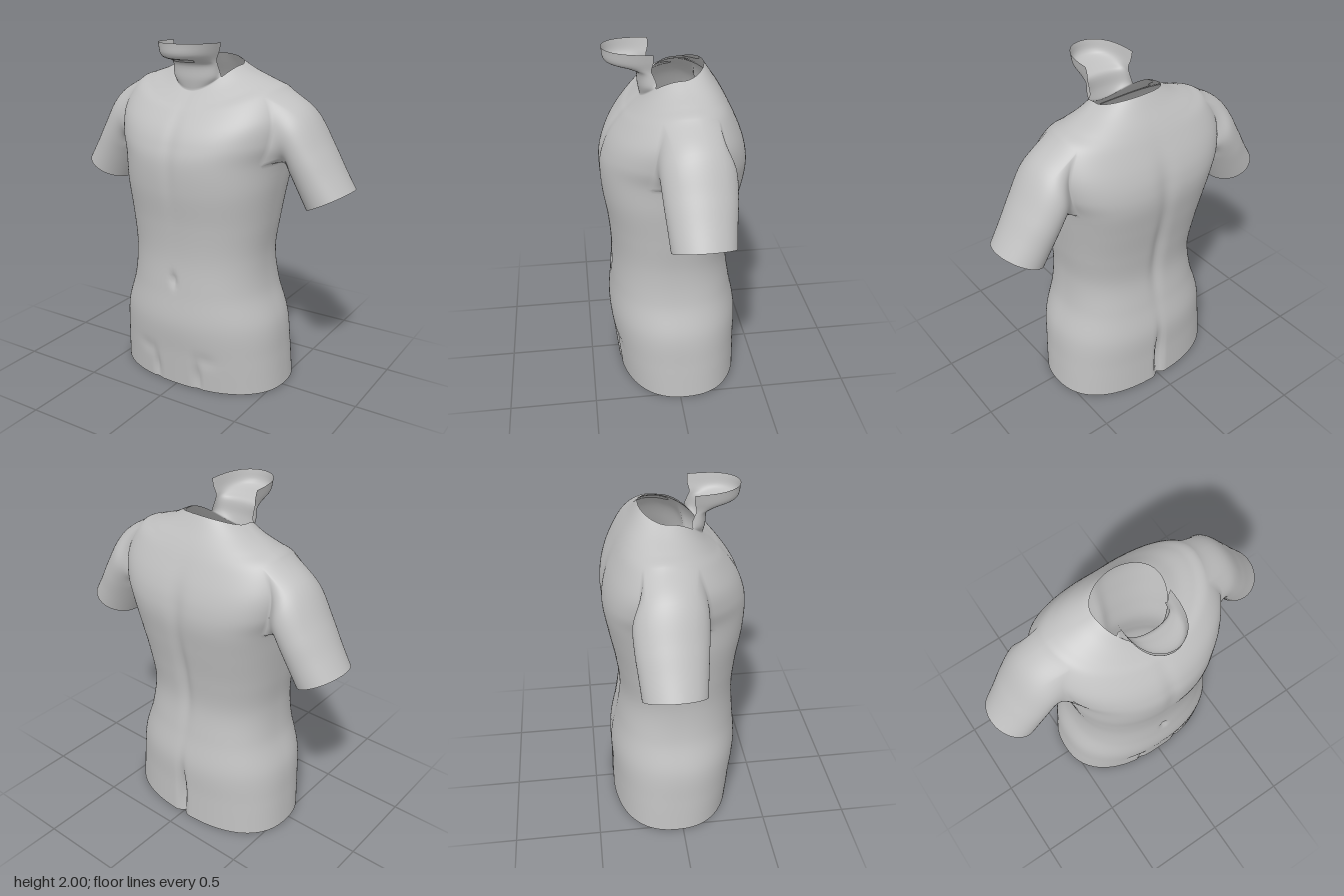
import * as THREE from 'three';

const M = 160;        // columns around the body
const SUB = 8;        // rows between two key sections
const HOLE = 12;      // half width of an armhole, in columns
const FLAP = 22;      // half width of the throat, in columns
const J0 = 7 * SUB, J1 = 10 * SUB; // armhole rows

// Body sections: half width, side y, side z, front y, front z, back y, back z, front and back squareness
const BODY = [
  [.535, 0, -.03, 0, .33, 0, -.39, 2.3, 2.4],
  [.52, .2, -.02, .2, .352, .2, -.388, 2.3, 2.4],
  [.50, .4, 0, .4, .375, .4, -.388, 2.2, 2.4],
  [.435, .6, 0, .6, .36, .6, -.35, 2.3, 2.5],
  [.415, .8, .01, .8, .35, .8, -.325, 2.3, 2.5],
  [.435, 1, 0, 1, .365, 1, -.345, 2.3, 2.6],
  [.46, 1.2, -.01, 1.2, .395, 1.2, -.38, 2.3, 2.8],
  [.48, 1.36, -.05, 1.36, .402, 1.36, -.405, 2.3, 2.9],
  [.52, 1.48, -.07, 1.46, .378, 1.47, -.4, 2.3, 2.8],
  [.53, 1.62, -.08, 1.54, .338, 1.57, -.372, 2.2, 2.6],
  [.47, 1.745, -.09, 1.62, .275, 1.68, -.322, 2.1, 2.4],
  [.38, 1.785, -.085, 1.66, .235, 1.76, -.278, 2, 2.3],
  [.28, 1.82, -.07, 1.70, .195, 1.84, -.225, 2, 2.1],
  [.2, 1.86, -.05, 1.73, .165, 1.9, -.185, 2, 2],
];

// Arm sections: top x, top y, bottom x, bottom y, centre z, half depth
const ARM = [
  [.62, 1.645, .505, 1.34, -.075, .195],
  [.735, 1.465, .535, 1.29, -.08, .19],
  [.81, 1.34, .585, 1.19, -.08, .178],
  [.88, 1.23, .63, 1.1, -.08, .168],
];

// Throat and chin sections: half width, edge z, front z, edge y, front y
const THROAT = [
  [.14, .085, .175, 1.83, 1.79],
  [.135, .1, .185, 1.87, 1.87],
  [.135, .11, .24, 1.9, 1.895],
  [.145, .1, .345, 1.945, 1.925],
  [.155, .1, .365, 1.99, 2.0],
];

// Dents: side (1 front, -1 back), x, y, x spread, y spread, depth
const DENTS = [
  [1, 0, .67, .02, .035, .022],     // navel
  [1, 0, 1.4, .04, .25, .01],       // breastbone
  [1, .14, .08, .018, .09, .025],   // groin creases
  [1, -.14, .08, .018, .09, .025],
  [1, .2, .2, .06, .04, .008],
  [1, -.2, .2, .06, .04, .008],
  [-1, 0, 1.0, .04, .32, .022],     // spine
  [-1, 0, 1.45, .06, .15, .012],
  [-1, 0, .15, .022, .2, .05],      // cleft
];

// Smooth interpolation through a list of equal-length rows
function spline(keys, t) {
  const n = keys.length - 1, i = Math.min(Math.floor(t), n - 1), f = t - i;
  const b = keys[i], c = keys[i + 1];
  const a = keys[i - 1] || b.map((v, k) => 2 * v - c[k]);
  const d = keys[i + 2] || c.map((v, k) => 2 * v - b[k]);
  return b.map((v, k) => v + .5 * f * (c[k] - a[k] + f * (2 * a[k] - 5 * v + 4 * c[k] - d[k]
    + f * (3 * (v - c[k]) + d[k] - a[k]))));
}

function bodyPoint(row, angle) {
  const [hw, ys, zs, yf, zf, yb, zb, pf, pb] = row;
  const c = Math.cos(angle), s = Math.sin(angle), front = s >= 0;
  const p = front ? pf : pb;
  const r = (Math.abs(c) ** p + Math.abs(s) ** p) ** (-1 / p);
  const x = hw * c * r;
  const y = ys + ((front ? yf : yb) - ys) * Math.abs(s) ** (front ? 2 : 1.5);
  let z = zs + Math.abs(s) * r * ((front ? zf : zb) - zs);
  for (const [side, dx, dy, sx, sy, depth] of DENTS) {
    if ((side > 0) === front) {
      z -= side * Math.abs(s) * depth * Math.exp(-(((x - dx) / sx) ** 2) - ((y - dy) / sy) ** 2);
    }
  }
  return [x, y, z];
}

export function createModel() {
  const points = [], faces = [];
  const add = (p) => points.push(p) - 1;
  const quad = (a, b, c, d, flip) => faces.push(...(flip ? [a, c, b, a, d, c] : [a, b, c, a, c, d]));

  // Joins a starting loop of vertices to new rings made by sections
  function loft(start, sections, sub, closed, flip) {
    const keys = start.map((id, k) => [points[id], ...sections.map((f) => f(k))]);
    let previous = start;
    for (let j = 1; j <= sections.length * sub; j++) {
      const ring = keys.map((key) => add(spline(key, j / sub)));
      for (let k = 0; k < ring.length - (closed ? 0 : 1); k++) {
        const n = (k + 1) % ring.length;
        quad(previous[k], ring[k], ring[n], previous[n], flip);
      }
      previous = ring;
    }
  }

  // Body, leaving the two armholes open
  const rows = (BODY.length - 1) * SUB;
  for (let j = 0; j <= rows; j++) {
    const row = spline(BODY, j / SUB);
    for (let i = 0; i < M; i++) add(bodyPoint(row, i / M * Math.PI * 2));
  }
  const at = (j, i) => j * M + (i + M) % M;
  for (let j = 0; j < rows; j++) {
    for (let i = 0; i < M; i++) {
      const m = i + .5;
      const inHole = Math.min(m, M - m, Math.abs(m - M / 2)) < HOLE;
      if (inHole && j >= J0 && j < J1) continue;
      quad(at(j, i), at(j + 1, i), at(j + 1, i + 1), at(j, i + 1));
    }
  }

  // Arms, growing out of the armholes
  for (const side of [1, -1]) {
    const id = (j, d) => at(j, side > 0 ? d : M / 2 - d);
    const loop = [];
    for (let j = J0; j < J1; j++) loop.push(id(j, HOLE));
    for (let d = HOLE; d > -HOLE; d--) loop.push(id(J1, d));
    for (let j = J1; j > J0; j--) loop.push(id(j, -HOLE));
    for (let d = -HOLE; d < HOLE; d++) loop.push(id(J0, d));
    const turn = loop.map((v) => Math.atan2((points[v][1] - 1.55) / .19, (points[v][2] + .05) / .19));
    const sections = ARM.map(([tx, ty, bx, by, cz, depth]) => (k) => {
      const c = Math.cos(turn[k]), s = Math.sin(turn[k]);
      return [
        side * ((tx + bx) / 2 + s * (tx - bx) / 2),
        (ty + by) / 2 + s * (ty - by) / 2,
        cz + c * depth,
      ];
    });
    loft(loop, sections, 6, true, side < 0);
  }

  // Throat and chin strip, rising from the front of the neck opening
  const rim = [];
  for (let i = -FLAP; i <= FLAP; i++) rim.push(at(rows, M / 4 + i));
  const sections = THROAT.map(([w, zb, zf, yb, yf]) => (k) => {
    const t = (k / FLAP - 1) * Math.PI / 2;
    const c = Math.max(0, Math.cos(t)) ** .7;
    return [-w * Math.sin(t), yb + (yf - yb) * c, zb + (zf - zb) * c];
  });
  loft(rim, sections, 5, false, false);

  const geometry = new THREE.BufferGeometry();
  geometry.setAttribute('position', new THREE.Float32BufferAttribute(points.flat(), 3));
  geometry.setIndex(faces);
  geometry.computeVertexNormals();

  const clay = new THREE.MeshStandardMaterial({ color: 0xc0c0c0, side: THREE.DoubleSide });
  clay.name = 'grey clay';
  const torso = new THREE.Mesh(geometry, clay);
  torso.name = 'torsoShell';
  const model = new THREE.Group();
  model.name = 'torso';
  model.add(torso);
  return model;
}
